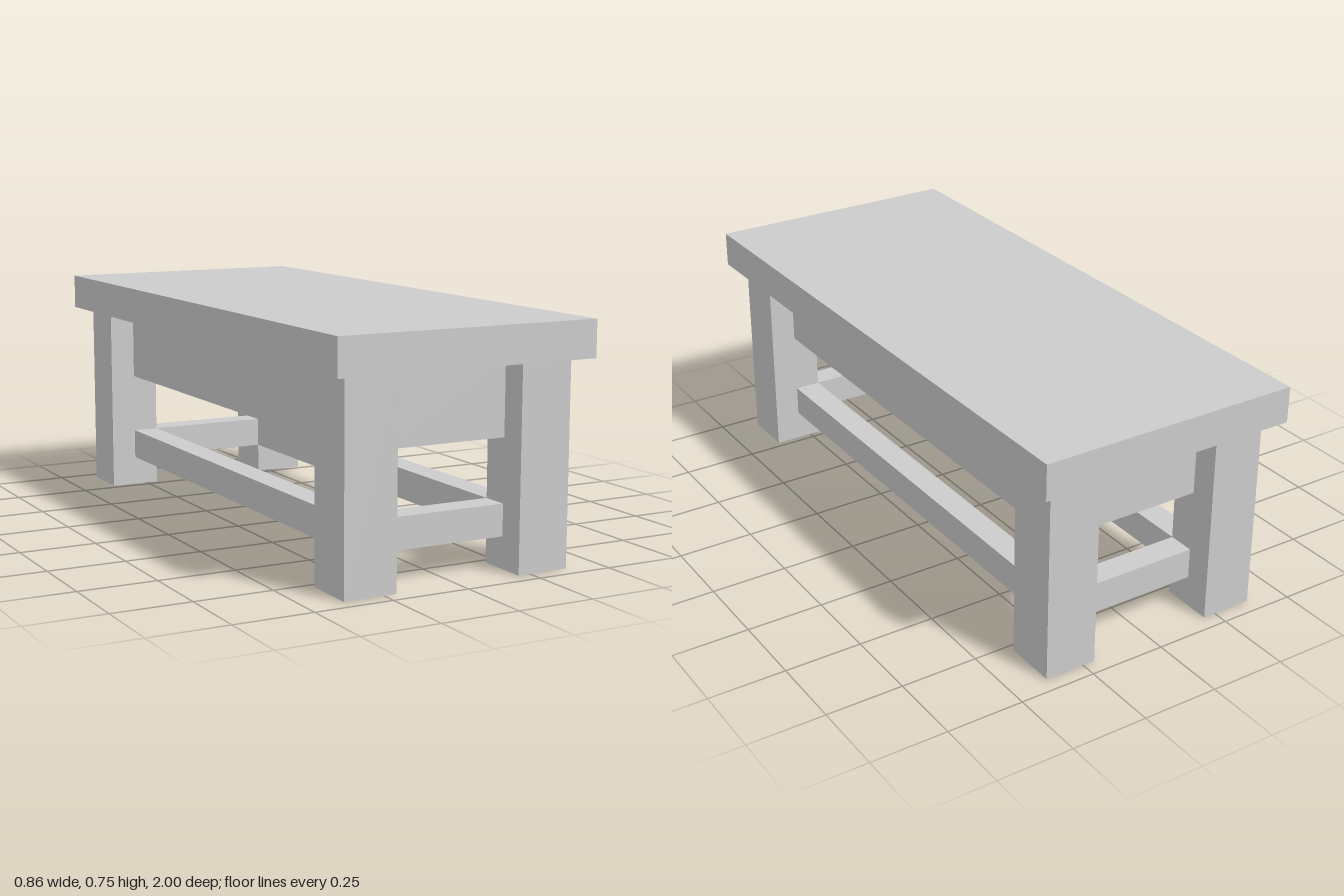
import * as THREE from 'three';

export function createModel() {
  const group = new THREE.Group();
  const material = new THREE.MeshStandardMaterial({ color: 0xcccccc });

  const addBox = (name, [w, h, d], [x, y, z]) => {
    const mesh = new THREE.Mesh(new THREE.BoxGeometry(w, h, d), material);
    mesh.name = name;
    mesh.position.set(x, y, z);
    group.add(mesh);
  };

  const height = 0.754, legHeight = 0.638;
  const outerX = 0.38, innerX = 0.209;   // leg faces across the width
  const outerZ = 0.948, innerZ = 0.774;  // leg faces along the length
  const legX = (outerX + innerX) / 2, legZ = (outerZ + innerZ) / 2;

  // Thick slab top
  addBox('tableTop', [0.862, height - legHeight, 2], [0, (height + legHeight) / 2, 0]);

  // Four square legs
  for (const sx of [-1, 1]) for (const sz of [-1, 1]) {
    addBox('leg', [outerX - innerX, legHeight, outerZ - innerZ], [sx * legX, legHeight / 2, sz * legZ]);
  }

  // Aprons and stretchers: flush with the inner leg faces, half a leg thick
  const bands = [['Apron', 0.4, legHeight], ['Stretcher', 0.1, 0.2]];
  for (const [name, bottom, top] of bands) {
    const h = top - bottom, y = (top + bottom) / 2;
    for (const s of [-1, 1]) {
      addBox('side' + name, [legX - innerX, h, innerZ * 2], [s * (legX + innerX) / 2, y, 0]);
      addBox('end' + name, [innerX * 2, h, legZ - innerZ], [0, y, s * (legZ + innerZ) / 2]);
    }
  }
  return group;
}
